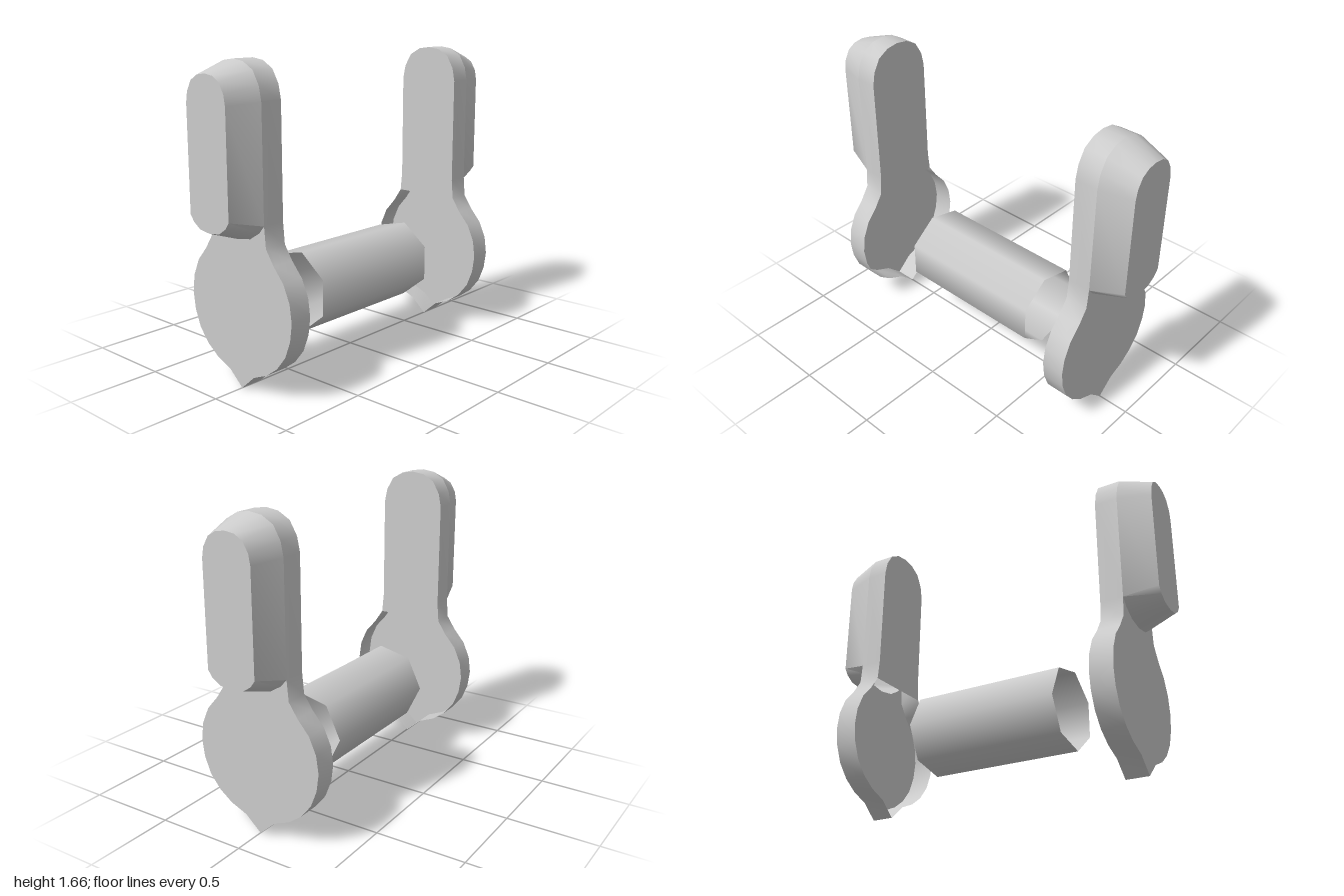
import * as THREE from 'three';
import { toCreasedNormals } from 'three/addons/utils/BufferGeometryUtils.js';

const material = new THREE.MeshStandardMaterial({ color: 0xcccccc, side: THREE.DoubleSide });

// Half profiles as [half depth, height], all listed upwards
const discHalf = [[0, 0], [0.09, 0.08], [0.185, 0.12], [0.26, 0.175], [0.32, 0.25], [0.355, 0.34],
  [0.368, 0.435], [0.355, 0.53], [0.315, 0.62], [0.25, 0.695], [0.2, 0.77]];
const stemHalf = [[0.19, 0.88], [0.19, 1.47], [0.175, 1.545], [0.135, 1.615], [0.07, 1.652], [0, 1.662]];
const gripBottom = [[0, 0.785], [0.09, 0.8], [0.155, 0.84]];
const gripFaceHalf = [[0, 0.845], [0.07, 0.855], [0.115, 0.885], [0.14, 0.92], [0.14, 1.46],
  [0.13, 1.515], [0.1, 1.567], [0.055, 1.594], [0, 1.602]];

// Closes a half profile into a symmetric loop without doubling centre points
function mirrorLoop(half) {
  const other = half.filter(([u]) => u > 0).reverse().map(([u, y]) => [-u, y]);
  return [...half, ...other];
}

// Wall between two matching loops at x0 and x1
function wall(name, loopA, x0, loopB, x1) {
  const positions = [];
  const n = loopA.length;
  for (let i = 0; i < n; i++) {
    const j = (i + 1) % n;
    const a = [x0, loopA[i][1], -loopA[i][0]];
    const b = [x0, loopA[j][1], -loopA[j][0]];
    const c = [x1, loopB[j][1], -loopB[j][0]];
    const d = [x1, loopB[i][1], -loopB[i][0]];
    positions.push(...a, ...b, ...c, ...a, ...c, ...d);
  }
  const geometry = new THREE.BufferGeometry();
  geometry.setAttribute('position', new THREE.Float32BufferAttribute(positions, 3));
  return named(name, toCreasedNormals(geometry, 0.6));
}

// Flat face at x, facing outwards (+1) or inwards (-1)
function face(name, loop, x, direction) {
  const shape = new THREE.Shape(loop.map(([u, y]) => new THREE.Vector2(u, y)));
  const geometry = new THREE.ShapeGeometry(shape);
  geometry.rotateY(direction * Math.PI / 2).translate(x, 0, 0);
  return named(name, geometry);
}

function named(name, geometry) {
  const mesh = new THREE.Mesh(geometry, material);
  mesh.name = name;
  return mesh;
}

// One lever: a hollow disc open on its inner side, a stem and a tapered grip
function createLever(name) {
  const inner = 0.7, outer = 0.825, tip = 1;
  const outline = mirrorLoop([...discHalf, ...stemHalf]);
  const gripBase = mirrorLoop([...gripBottom, ...stemHalf]);
  const gripFace = mirrorLoop(gripFaceHalf);

  // The outer disc face stops along the lower curve of the grip
  const right = [...discHalf, stemHalf[0], ...[...gripBottom].reverse()];
  const discFace = [...right, ...right.slice(1, -1).reverse().map(([u, y]) => [-u, y])];
  const stemFace = mirrorLoop([discHalf[discHalf.length - 1], ...stemHalf]);

  const lever = new THREE.Group();
  lever.name = name;
  lever.add(
    wall('leverRim', outline, inner, outline, outer),
    face('discFace', discFace, outer, 1),
    face('stemInnerFace', stemFace, inner, -1),
    wall('gripSides', gripBase, outer, gripFace, tip),
    face('gripFace', gripFace, tip, 1)
  );
  return lever;
}

export function createModel() {
  const model = new THREE.Group();
  model.name = 'leverPair';

  // The levers are symmetric in depth, so a half turn mirrors them
  const left = createLever('leftLever');
  const right = createLever('rightLever');
  right.rotation.y = Math.PI;

  // Open tube with few sides
  const tube = new THREE.CylinderGeometry(0.225, 0.225, 0.865, 7, 1, true, Math.PI);
  tube.rotateZ(Math.PI / 2).translate(0, 0.424, -0.004);

  model.add(left, right, named('axleTube', tube));
  return model;
}
